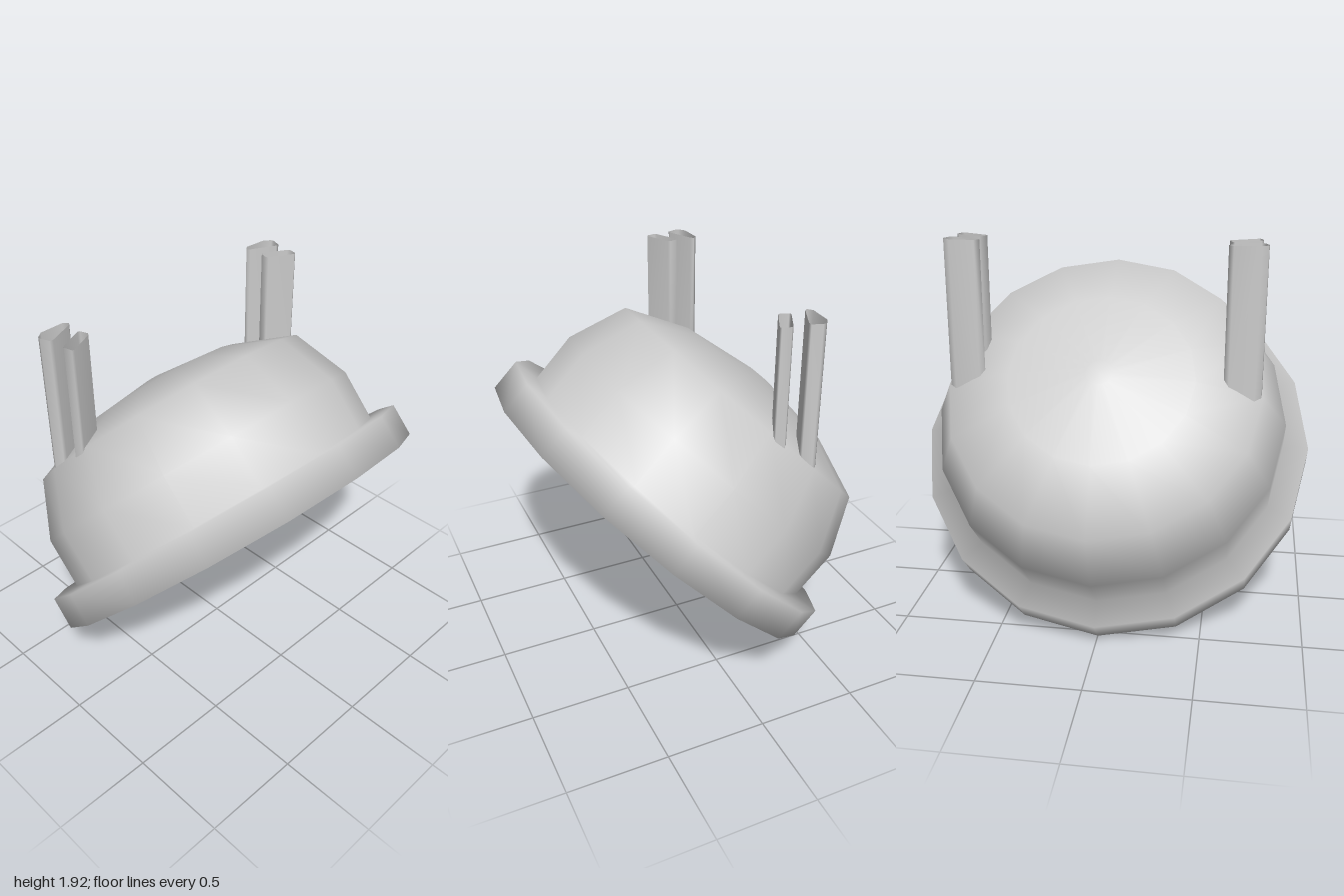
import * as THREE from 'three';
import { mergeVertices } from 'three/addons/utils/BufferGeometryUtils.js';

const material = new THREE.MeshStandardMaterial({ color: 0xcccccc });
const openMaterial = new THREE.MeshStandardMaterial({ color: 0xcccccc, side: THREE.DoubleSide });

// Closed lathe profile [radius, height]: hollow inside, lip, rim, outer dome
const bowlProfile = [
  [0, 0.475], [0.06, 0.47], [0.36, 0.425], [0.61, 0.33], [0.725, 0.21], [0.69, 0.065],
  [0.82, 0], [1, 0], [1, 0.167], [0.87, 0.167],
  [0.873, 0.43], [0.752, 0.718], [0.445, 0.843], [0.062, 0.897], [0, 0.897],
];

// Upright prong: walls only, open at the top, on an outline of [x, distance from the middle]
function makeProng(name, outline, bottom, top, side) {
  const positions = [];
  outline.forEach(([x0, d0], i) => {
    const [x1, d1] = outline[(i + 1) % outline.length];
    const a = [x0, bottom, d0 * side], b = [x1, bottom, d1 * side];
    const c = [x1, top, d1 * side], d = [x0, top, d0 * side];
    // The mirrored side needs the opposite winding
    const corners = side > 0 ? [a, b, c, a, c, d] : [a, c, b, a, d, c];
    positions.push(...corners.flat());
  });
  const walls = new THREE.BufferGeometry();
  walls.setAttribute('position', new THREE.Float32BufferAttribute(positions, 3));
  const geometry = mergeVertices(walls);
  geometry.computeVertexNormals();
  const prong = new THREE.Mesh(geometry, openMaterial);
  prong.name = name;
  return prong;
}

export function createModel() {
  const model = new THREE.Group();
  model.name = 'tiltedBowl';

  // Hollow dome with a thick rim, tipped by 45 degrees
  const points = bowlProfile.map(([r, h]) => new THREE.Vector2(r, h));
  const bowl = new THREE.Mesh(new THREE.LatheGeometry(points, 16), material);
  bowl.name = 'bowl';
  bowl.rotation.z = Math.PI / 4;
  bowl.position.set(0.165, 0.71, 0);
  model.add(bowl);

  // A pair of slanted plates on each side, sunk into the dome (outlines run anticlockwise on the front side)
  const lower = [[-0.38, 0.59], [-0.375, 0.71], [-0.35, 0.742], [-0.335, 0.745], [-0.287, 0.728], [-0.285, 0.71], [-0.345, 0.58], [-0.36, 0.567]];
  const upper = [[-0.27, 0.59], [-0.21, 0.71], [-0.198, 0.72], [-0.155, 0.71], [-0.15, 0.7], [-0.213, 0.575], [-0.225, 0.567], [-0.265, 0.58]];
  for (const side of [1, -1]) {
    const label = side > 0 ? 'front' : 'back';
    model.add(makeProng(label + 'LowerProng', lower, 1.2, 1.92, side));
    model.add(makeProng(label + 'UpperProng', upper, 1.32, 1.92, side));
  }
  return model;
}
